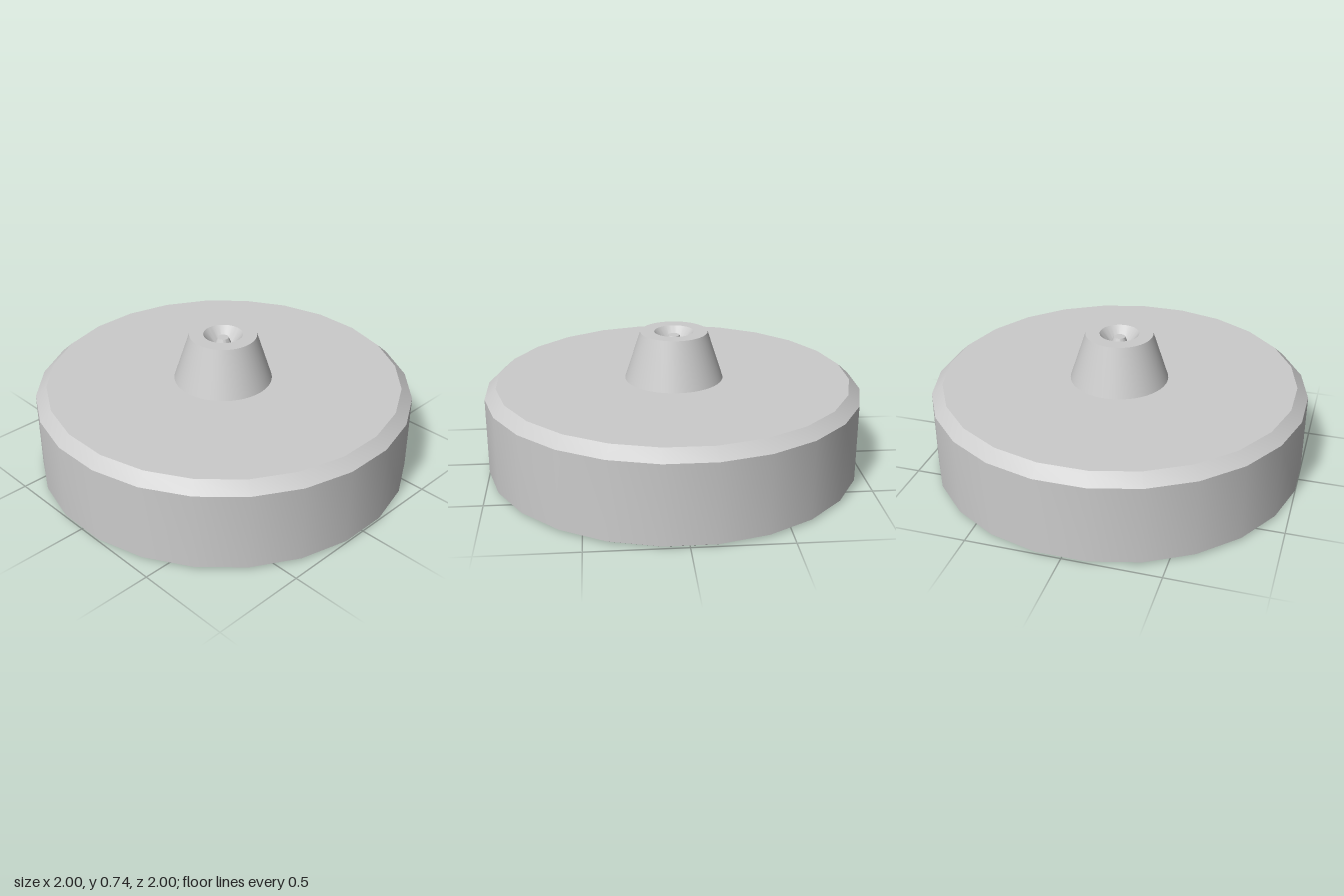
import * as THREE from 'three';
import { toCreasedNormals } from 'three/addons/utils/BufferGeometryUtils.js';

const material = new THREE.MeshStandardMaterial({ color: 0xcccccc });

// Turned part from a [radius, height] profile running from the bottom up
function turned(name, profile, sides) {
  const points = profile.map(([r, y]) => new THREE.Vector2(r, y));
  const lathe = new THREE.LatheGeometry(points, sides, Math.PI / sides);
  const mesh = new THREE.Mesh(toCreasedNormals(lathe, Math.PI / 7), material);
  mesh.name = name;
  return mesh;
}

export function createModel() {
  const group = new THREE.Group();
  group.name = 'roundBaseWithNozzle';

  // 24-sided disc, bevelled at both edges, with a sloped recess underneath
  const sides = 24;
  const corner = 1 / Math.cos(Math.PI / sides);
  const base = [
    [0, 0.1], [0.58, 0.1], [0.695, 0], [0.98, 0],
    [1, 0.012], [1, 0.43], [0.94, 0.485], [0, 0.485],
  ].map(([r, y]) => [r * corner, y]);
  group.add(turned('base', base, sides));

  // Tapered nozzle with a funnel mouth
  const nozzle = turned('nozzle', [
    [0.265, 0.48], [0.18, 0.74], [0.105, 0.74], [0.05, 0.67],
  ], 48);

  // Small tapered pin standing in the mouth
  const pin = turned('pin', [[0.05, 0.67], [0.03, 0.72], [0, 0.72]], 32);

  for (const part of [nozzle, pin]) {
    part.position.z = -0.006;
    group.add(part);
  }
  return group;
}
